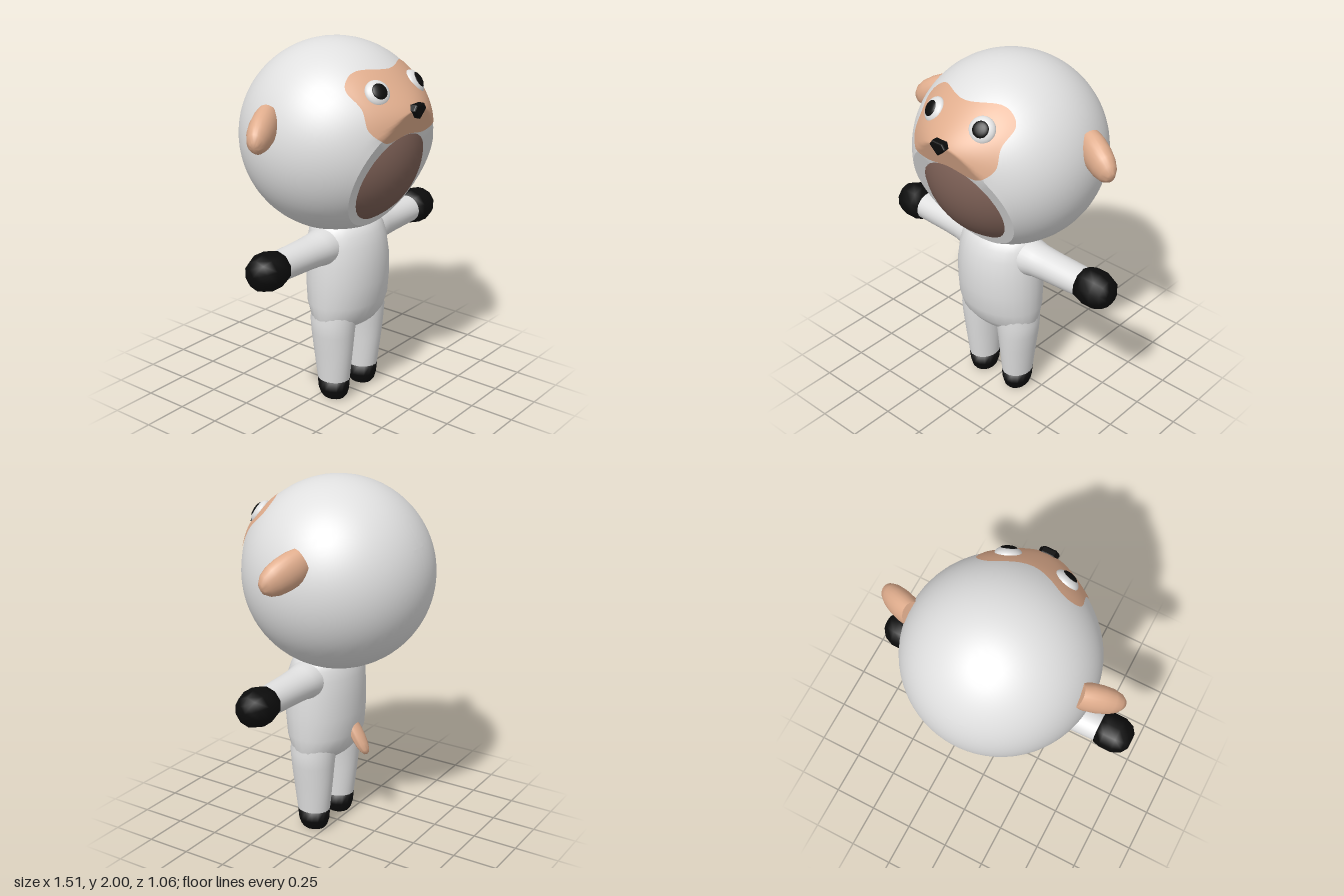
import * as THREE from 'three';
import { toCreasedNormals } from 'three/addons/utils/BufferGeometryUtils.js';

const material = (name, color) => Object.assign(new THREE.MeshStandardMaterial({ color }), { name });

// Head: a ball cut by a sloping plane at the mouth, with a small muzzle bump
const HEAD = { y: 1.485, z: -0.01, r: 0.515, cut: 0.396 };
const NY = -0.376, NZ = 0.927;
const cutZ = (y) => HEAD.z + (HEAD.cut - NY * (y - HEAD.y)) / NZ;
const muzzle = (x, y, z) =>
  Math.min(z + 0.045 * Math.exp(-((x / 0.2) ** 2) - ((y - 1.68) / 0.12) ** 2), cutZ(y));
const headZ = (x, y) =>
  muzzle(x, y, HEAD.z + Math.sqrt(Math.max(0, HEAD.r ** 2 - x * x - (y - HEAD.y) ** 2)));

function headGeometry() {
  const end = Math.asin(HEAD.cut / HEAD.r), profile = [];
  for (let i = 0; i <= 40; i++) {
    const a = -Math.PI / 2 + (end + Math.PI / 2) * (i / 40);
    profile.push(new THREE.Vector2(Math.max(0, HEAD.r * Math.cos(a)), HEAD.r * Math.sin(a)));
  }
  profile.push(new THREE.Vector2(0.16, HEAD.cut), new THREE.Vector2(0, HEAD.cut));
  const g = new THREE.LatheGeometry(profile, 64);
  g.rotateX(Math.atan2(NZ, NY)).translate(0, HEAD.y, HEAD.z);
  const p = g.attributes.position;
  for (let i = 0; i < p.count; i++) {
    if (p.getZ(i) > 0) p.setZ(i, muzzle(p.getX(i), p.getY(i), p.getZ(i)));
  }
  return toCreasedNormals(g, 0.5);
}

// Face patch: rings shrinking from an outline to a centre, laid on the head
function patchGeometry() {
  const half = [[0.17, 1.545], [0.275, 1.62], [0.273, 1.73], [0.288, 1.805], [0.25, 1.855], [0.18, 1.888]];
  const outline = [[0, 1.56], ...half, [0, 1.88], ...half.map(([x, y]) => [-x, y]).reverse()];
  const curve = new THREE.CatmullRomCurve3(outline.map(([x, y]) => new THREE.Vector3(x, y, 0)), true);
  const n = 84, rings = 14, cy = 1.72, pos = [], index = [];
  const edge = curve.getPoints(n);
  for (let r = 0; r <= rings; r++) {
    for (let j = 0; j < n; j++) {
      const x = edge[j].x * r / rings, y = cy + (edge[j].y - cy) * r / rings;
      pos.push(x, y, headZ(x, y) + 0.006);
      if (r === rings) continue;
      const a = r * n + j, b = r * n + (j + 1) % n;
      if (r > 0) index.push(a, a + n, b);
      index.push(b, a + n, b + n);
    }
  }
  return indexed(pos, index);
}

function indexed(pos, index) {
  const g = new THREE.BufferGeometry();
  g.setAttribute('position', new THREE.Float32BufferAttribute(pos, 3));
  g.setIndex(index);
  g.computeVertexNormals();
  return g;
}

// Loft of elliptical rings [y, centreX, centreZ, radiusX, radiusZ], from low to high
function loft(rings, n = 28) {
  const pos = [], index = [];
  rings.forEach(([y, cx, cz, rx, rz], i) => {
    for (let j = 0; j < n; j++) {
      const t = (j / n) * Math.PI * 2;
      pos.push(cx + rx * Math.cos(t), y, cz + rz * Math.sin(t));
      if (i === rings.length - 1) continue;
      const a = i * n + j, b = i * n + (j + 1) % n;
      index.push(a, a + n, b, b, a + n, b + n);
    }
  });
  return indexed(pos, index);
}

// Blunt rounded horn shape from root to tip, used for ears and tail
function horn(root, tip, width, height, mat) {
  const a = new THREE.Vector3(...root), b = new THREE.Vector3(...tip);
  const profile = [[0, 0], [0.9, 0], [1, 0.2], [1, 0.45], [0.9, 0.68], [0.68, 0.86], [0.36, 0.97], [0, 1]];
  const g = new THREE.LatheGeometry(profile.map(([x, y]) => new THREE.Vector2(x, y)), 24);
  g.rotateX(Math.PI / 2).scale(width, height, a.distanceTo(b));
  const mesh = new THREE.Mesh(toCreasedNormals(g, 1), mat);
  mesh.position.copy(a);
  mesh.lookAt(b);
  return mesh;
}

export function createModel() {
  const model = new THREE.Group();
  const wool = material('wool white', 0xe0e0e0);
  const skin = material('peach skin', 0xe0ad8d);
  const mouth = material('mouth brown', 0x7d6056);
  const black = material('black', 0x0c0c0c);
  const add = (name, object, mat) => {
    const mesh = object.isObject3D ? object : new THREE.Mesh(object, mat);
    mesh.name = name;
    model.add(mesh);
    return mesh;
  };

  // Head, face patch and bulging mouth
  add('head', headGeometry(), wool);
  add('facePatch', patchGeometry(), skin);
  add('mouth', new THREE.SphereGeometry(0.43, 48, 32), mouth).position.set(0, 1.44, 0.032);

  // Nose: rounded triangle
  const tri = new THREE.Shape();
  tri.moveTo(0, -0.03);
  tri.lineTo(0.039, 0.005);
  tri.lineTo(0.028, 0.02);
  tri.lineTo(-0.028, 0.02);
  tri.lineTo(-0.039, 0.005);
  const nose = new THREE.ExtrudeGeometry(tri, {
    depth: 0.025, bevelEnabled: true, bevelSize: 0.011, bevelThickness: 0.011, bevelSegments: 3,
  });
  add('nose', nose, black).position.set(0, 1.695, 0.495);

  // Torso
  add('torso', loft([
    [0.41, 0, 0.075, 0, 0], [0.42, 0, 0.075, 0.15, 0.08], [0.45, 0, 0.075, 0.225, 0.125],
    [0.5, 0, 0.073, 0.247, 0.165], [0.58, 0, 0.073, 0.257, 0.195], [0.7, 0, 0.074, 0.26, 0.206],
    [0.82, 0, 0.073, 0.256, 0.207], [0.92, 0, 0.068, 0.246, 0.197], [0.98, 0, 0.063, 0.235, 0.18],
    [1.02, 0, 0.06, 0.215, 0.16], [1.04, 0, 0.06, 0.18, 0.13], [1.047, 0, 0.06, 0, 0],
  ]), wool);

  for (const s of [1, -1]) {
    const side = s > 0 ? 'left' : 'right';

    // Ears
    add(side + 'Ear', horn([s * 0.455, 1.65, -0.08], [s * 0.672, 1.555, 0.012], 0.068, 0.092, skin));

    // Eyes and pupils
    const normal = new THREE.Vector3(s * 0.31, 0.55, 0.77).normalize();
    const center = new THREE.Vector3(s * 0.16, 1.788, 0.376);
    const eyeball = (name, radius, depth, out, mat) => {
      const mesh = add(name, new THREE.SphereGeometry(1, 24, 16).scale(radius, radius, depth), mat);
      mesh.position.copy(center).addScaledVector(normal, out);
      mesh.lookAt(mesh.position.clone().add(normal));
    };
    eyeball(side + 'Eye', 0.07, 0.036, 0, wool);
    eyeball(side + 'Pupil', 0.043, 0.014, 0.026, black);

    // Arms and hands, lofted upright then turned outwards
    const limb = (rings, n) => loft(rings, n).rotateZ(-s * Math.PI / 2).translate(0, 0.92, 0.065);
    add(side + 'Arm', limb([
      [0.1, 0, 0, 0.1, 0.11], [0.22, 0, 0, 0.102, 0.108], [0.27, 0, 0, 0.09, 0.098],
      [0.36, 0, 0, 0.084, 0.092], [0.58, 0, 0, 0.077, 0.085],
    ]), wool);
    add(side + 'Hand', limb([
      [0.568, 0, 0, 0, 0], [0.568, 0, 0, 0.086, 0.09], [0.61, 0, 0, 0.1, 0.102],
      [0.68, 0, 0, 0.1, 0.102], [0.73, 0, 0, 0.08, 0.08], [0.755, 0, 0, 0.045, 0.045], [0.757, 0, 0, 0, 0],
    ], 10), black);

    // Legs and feet
    add(side + 'Leg', loft([
      [0.115, s * 0.127, 0.075, 0.083, 0.093], [0.3, s * 0.131, 0.075, 0.098, 0.115],
      [0.4, s * 0.132, 0.075, 0.112, 0.123], [0.48, s * 0.13, 0.075, 0.119, 0.13], [0.58, s * 0.12, 0.075, 0.115, 0.13],
    ]), wool);
    add(side + 'Foot', loft([
      [0, s * 0.125, 0.075, 0, 0], [0.004, s * 0.125, 0.075, 0.055, 0.065], [0.02, s * 0.125, 0.075, 0.067, 0.078],
      [0.06, s * 0.126, 0.075, 0.081, 0.089], [0.12, s * 0.127, 0.075, 0.085, 0.095], [0.12, s * 0.127, 0.075, 0, 0],
    ], 16), black);
  }

  // Tail
  add('tail', horn([0, 0.63, -0.095], [0, 0.465, -0.195], 0.046, 0.033, skin));
  return model;
}
